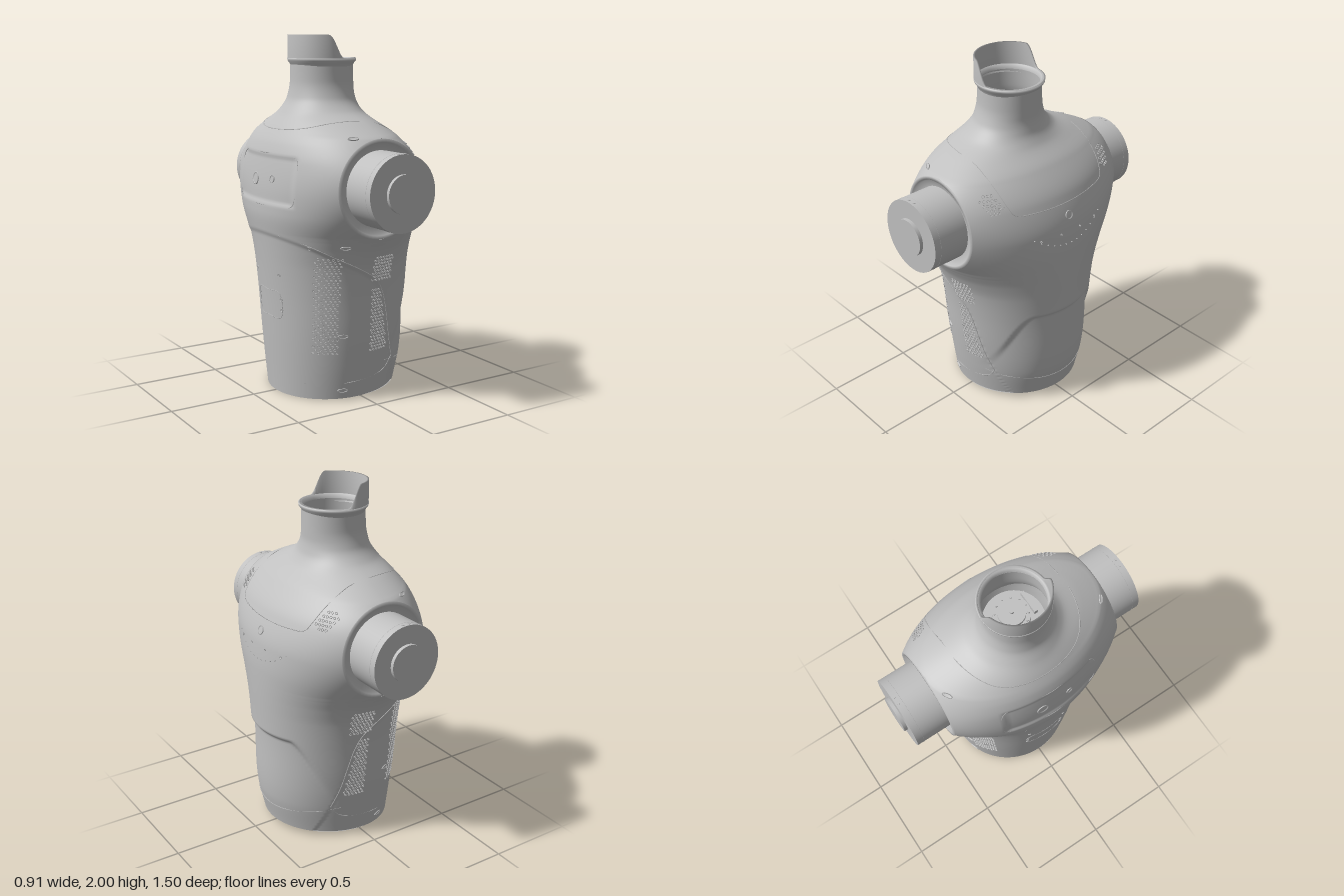
import * as THREE from 'three';
import { mergeGeometries, mergeVertices } from 'three/addons/utils/BufferGeometryUtils.js';

const shellMat = new THREE.MeshStandardMaterial({ color: 0xc0c0c0, side: THREE.DoubleSide });
shellMat.name = 'shell grey';

// Smooth monotone curve through [position, value] pairs
function profile(pts) {
  const d = pts.slice(1).map((p, i) => (p[1] - pts[i][1]) / (p[0] - pts[i][0]));
  const m = pts.map((p, i) => {
    if (i === 0) return d[0];
    if (i === d.length) return d[i - 1];
    return d[i - 1] * d[i] <= 0 ? 0 : (2 * d[i - 1] * d[i]) / (d[i - 1] + d[i]);
  });
  return (v) => {
    if (v <= pts[0][0]) return pts[0][1];
    if (v >= pts[pts.length - 1][0]) return pts[pts.length - 1][1];
    let i = 0;
    while (v > pts[i + 1][0]) i++;
    const h = pts[i + 1][0] - pts[i][0], t = (v - pts[i][0]) / h, t2 = t * t, t3 = t2 * t;
    return (2 * t3 - 3 * t2 + 1) * pts[i][1] + (t3 - 2 * t2 + t) * h * m[i]
      + (3 * t2 - 2 * t3) * pts[i + 1][1] + (t3 - t2) * h * m[i + 1];
  };
}

// Torso outlines by height
const xMax = profile([[0, 0.38], [0.2, 0.418], [0.4, 0.435], [0.65, 0.444], [1, 0.453], [1.15, 0.443], [1.33, 0.385],
  [1.47, 0.28], [1.56, 0.18], [1.62, 0.145], [1.7, 0.13], [1.86, 0.13]]);
const xMin = profile([[0, -0.36], [0.3, -0.385], [0.6, -0.407], [0.9, -0.435], [1.05, -0.453], [1.15, -0.45],
  [1.33, -0.425], [1.42, -0.395], [1.5, -0.345], [1.58, -0.285], [1.66, -0.24], [1.75, -0.225], [1.86, -0.222]]);
const zMax = profile([[0, 0.37], [0.2, 0.398], [0.4, 0.42], [0.6, 0.437], [0.75, 0.458], [0.85, 0.491], [0.92, 0.527],
  [0.935, 0.535], [1.465, 0.535], [1.475, 0.517], [1.53, 0.4], [1.59, 0.265], [1.66, 0.2], [1.75, 0.175], [1.86, 0.17]]);
const centre = profile([[0, -0.01], [1.465, -0.01], [1.65, -0.047], [1.86, -0.047]]);
const hemLine = profile([[-0.45, 0.945], [-0.33, 0.89], [-0.2, 0.82], [0, 0.71], [0.06, 0.65], [0.1, 0.56], [0.15, 0.36], [0.2, 0.2], [0.3, -0.1]]);
const R = 0.265, armX = -0.01, armY = 1.2;
const openingSq = (y) => Math.max(0, R * R - (y - armY) ** 2);
const halfDepth = (s, y) => (s > 0 ? xMax(y) - centre(y) : centre(y) - xMin(y));
const step = THREE.MathUtils.smoothstep;

// Point on the torso: s = +1 chest half, -1 back half; t from -PI/2 to PI/2 along z
function surf(s, y, t, lift = 0) {
  const c = centre(y), w2 = openingSq(y), a = halfDepth(s, y);
  let x = s * Math.sqrt(w2 + (a * a - w2) * Math.cos(t) ** 2), z = zMax(y) * Math.sin(t);
  let f = 1 + lift - 0.015 * step(hemLine(x + c) - y, 0, 0.025);
  if (s > 0) { // belly recess below an arch, softer down its sides
    const out = Math.max(0, Math.abs(z) - 0.21), arch = 0.635 - 0.18 * (out / 0.12) ** 2;
    f -= 0.04 * step(arch - y, 0, 0.03 + 0.6 * out) * step(y, 0.16, 0.6);
  } else { // back panel recess
    f -= 0.022 * step(0.3 - Math.abs(z), 0, 0.03) * step(y, 1.09, 1.12) * (1 - step(y, 1.34, 1.37));
  }
  x *= f; z *= f;
  const tilt = 0.03 * (x + 0.36) / 0.74 * Math.max(0, 1 - y / 0.3);
  return new THREE.Vector3(x + c, y + tilt, z);
}
// Surface position [half, y, t] from front/back coordinates, or from side coordinates
const face = (s, y, z) => [s, y, Math.asin(THREE.MathUtils.clamp(z / zMax(y), -1, 1))];
function side(x, y, m) {
  const dx = x - centre(y), s = dx >= 0 ? 1 : -1, w2 = openingSq(y), a = halfDepth(s, y);
  return [s, y, m * Math.acos(Math.sqrt(THREE.MathUtils.clamp((dx * dx - w2) / (a * a - w2), 0, 1)))];
}

function torsoShell() {
  const pos = [], idx = [], nu = 90, nv = 200;
  for (const s of [1, -1]) {
    const base = pos.length / 3;
    for (let j = 0; j <= nv; j++) for (let i = 0; i <= nu; i++)
      pos.push(...surf(s, 1.86 * j / nv, (i / nu - 0.5) * Math.PI).toArray());
    for (let j = 0; j < nv; j++) for (let i = 0; i < nu; i++) {
      const a = base + j * (nu + 1) + i, b = a + 1, c = a + nu + 1, d = c + 1;
      if (s > 0) idx.push(a, c, b, b, c, d); else idx.push(a, b, c, b, d, c);
    }
  }
  let g = new THREE.BufferGeometry();
  g.setAttribute('position', new THREE.Float32BufferAttribute(pos, 3));
  g.setIndex(idx);
  g = mergeVertices(g, 1e-4);
  g.computeVertexNormals();
  return g;
}

// Short tube with a sunken floor, set into the torso surface
const cupProfile = [[0, -0.2], [0.8, -0.2], [0.85, 1], [1, 1], [1, -1]].map((p) => new THREE.Vector2(...p));
function spot([s, y, t], rx, ry = rx, seg = 6) {
  const p = surf(s, y, t), e = 0.01;
  const u = surf(s, y, Math.min(1.57, t + e)).sub(surf(s, y, Math.max(-1.57, t - e)));
  const v = surf(s, y + e, t).sub(surf(s, y - e, t));
  const n = u.clone().cross(v).normalize();
  if (n.x * (p.x - centre(y)) + n.z * p.z < 0) n.negate();
  const right = new THREE.Vector3(0, 1, 0).cross(n).normalize();
  const m = new THREE.Matrix4().makeBasis(right, n.clone().cross(right), n).setPosition(p);
  return new THREE.LatheGeometry(cupProfile, seg).rotateX(Math.PI / 2).scale(rx, ry, 0.004).applyMatrix4(m);
}
// Fine line following the torso surface
function seam(list, closed = false) {
  const curve = new THREE.CatmullRomCurve3(list.map((q) => surf(...q, 0.001)), closed);
  return new THREE.TubeGeometry(curve, closed ? 160 : 60, 0.0025, 4, closed);
}
// Half a line plus its reflection across z
const reflect = (half) => [...half, ...half.slice(1, -1).reverse().map(([s, y, t]) => [s, y, -t])];
// Staggered vent holes between two heights, with x limits at bottom and top
function vent(x0, x1, y0, X0, X1, y1, m) {
  const out = [], rows = Math.round((y1 - y0) / 0.02);
  for (let j = 0; j <= rows; j++) {
    const k = j / rows, a = x0 + (X0 - x0) * k, b = x1 + (X1 - x1) * k;
    for (let x = a + (j % 2) * 0.01; x <= b; x += 0.021) out.push(spot(side(x, y0 + (y1 - y0) * k, m), 0.008, 0.0065, 5));
  }
  return out;
}

export function createModel() {
  const model = new THREE.Group();
  const add = (name, geo, parent = model) => {
    const mesh = new THREE.Mesh(geo, shellMat);
    mesh.name = name;
    parent.add(mesh);
    return mesh;
  };
  const lathe = (pts, seg = 64) => new THREE.LatheGeometry(pts.map((p) => new THREE.Vector2(...p)), seg);
  add('torsoShell', torsoShell());

  // Waist rim and inner liner with a lip
  const liner = add('waistLiner', lathe([[0.366, 0], [0.352, 0], [0.372, 0.32], [0.335, 0.33]]));
  liner.position.set(0.01, 0.016, 0);
  liner.rotation.z = 0.04;

  // Neck rim and raised guard
  const neckX = -0.047;
  add('neckRim', lathe([[0.172, 1.83], [0.178, 1.845], [0.19, 1.86], [0.192, 1.874], [0.172, 1.876], [0.165, 1.85]])).position.x = neckX;
  const guard = lathe([[0.19, 1.865], [0.19, 2], [0.18, 2], [0.18, 1.865]], 128);
  const gp = guard.attributes.position;
  for (let i = 0; i < gp.count; i++) if (gp.getY(i) > 1.9)
    gp.setY(i, 1.876 + 0.124 * (1 - step(gp.getX(i) + neckX, -0.11, -0.02)));
  guard.computeVertexNormals();
  add('neckGuard', guard).position.x = neckX;

  // Mechanism inside the neck
  const plate = new THREE.Shape().absarc(0, 0, 0.165, 0, Math.PI * 2);
  const slot = new THREE.Path([[-0.105, -0.07], [-0.08, -0.07], [-0.08, 0.07], [-0.105, 0.07]].map((p) => new THREE.Vector2(...p)));
  plate.holes.push(slot);
  const plateGeo = new THREE.ExtrudeGeometry(plate, { depth: 0.02, bevelEnabled: false, curveSegments: 32 }).rotateX(-Math.PI / 2);
  add('neckPlate', plateGeo).position.set(neckX, 1.6, 0);
  [[0.1, 0.04], [0.075, 0.06], [0.012, 0.075]].forEach(([r, h], i) =>
    add('neckMotor' + (i + 1), new THREE.CylinderGeometry(r, r, h, 32)).position.set(-0.025, 1.62 + h / 2, 0));
  for (let i = 0; i < 12; i++) {
    const a = i * Math.PI / 6;
    add('motorBolt', new THREE.CylinderGeometry(0.006, 0.006, 0.01, 8)).position.set(-0.025 + 0.088 * Math.cos(a), 1.665, 0.088 * Math.sin(a));
  }
  for (const z of [-0.115, 0.115]) add('neckBracket', new THREE.BoxGeometry(0.13, 0.03, 0.02)).position.set(-0.015, 1.635, z);

  // Arm joints
  for (const m of [1, -1]) {
    const arm = new THREE.Group();
    arm.name = m > 0 ? 'leftArmJoint' : 'rightArmJoint';
    arm.position.set(armX, armY, 0);
    arm.rotation.x = m * Math.PI / 2;
    model.add(arm);
    add('shoulderRing', lathe([[0.268, 0.525], [0.266, 0.537], [0.248, 0.537], [0.24, 0.518], [0.2, 0.514]]), arm);
    add('armCylinder', new THREE.CylinderGeometry(0.205, 0.205, 0.33, 64), arm).position.y = 0.565;
    add('armCap', new THREE.CylinderGeometry(0.103, 0.103, 0.05, 48), arm).position.y = 0.725;
    add('armSeam', new THREE.TorusGeometry(0.2035, 0.0028, 4, 64).rotateX(Math.PI / 2), arm).position.y = 0.69;
    for (const x of [-0.02, 0.02])
      add('armScrew', new THREE.CylinderGeometry(0.008, 0.008, 0.004, 10)).position.set(armX + x, armY + 0.205, m * 0.712);
  }

  // Vents, slots and side seams, mirrored across z
  const vents = [], slots = [], seams = [];
  for (const m of [1, -1]) {
    vents.push(...vent(-0.28, -0.17, 0.28, -0.3, -0.18, 0.82, m), ...vent(0, 0.13, 0.69, 0, 0.13, 0.82, m),
      ...vent(0.02, 0.14, 0.28, 0.01, 0.07, 0.63, m));
    for (let j = -2; j <= 2; j++) for (let i = -2; i <= 2; i++)
      if (Math.abs(i) + Math.abs(j) < 4) vents.push(spot(face(1, 1.38 + j * 0.02, m * (0.41 + i * 0.019 + (j % 2) * 0.008)), 0.008));
    for (const [x, y] of [[-0.155, 1.468], [-0.185, 0.89], [-0.15, 0.38], [-0.13, 0.05]])
      slots.push(spot(side(x, y, m), 0.03, 0.011, 20));
    slots.push(spot(side(-0.33, 0.88, m), 0.01, 0.01, 12));
    seams.push(seam([-0.42, -0.33, -0.2, -0.1, 0, 0.05, 0.08, 0.1, 0.12, 0.16, 0.2].map((x) => side(x, hemLine(x), m))));
    seams.push(seam([[0.2, 0.2], [0.16, 0.14], [0.1, 0.115], [-0.1, 0.095], [-0.3, 0.09]].map(([x, y]) => side(x, y, m))));
  }
  // Yoke loop around the shoulders, belt, back panel and lower hatch
  seams.push(
    seam(reflect([face(-1, 1.495, 0), face(-1, 1.5, 0.15), face(-1, 1.515, 0.25), side(-0.2, 1.535, 1), side(-0.07, 1.547, 1),
      face(1, 1.528, 0.36), face(1, 1.5, 0.362), face(1, 1.43, 0.355), face(1, 1.36, 0.34), face(1, 1.315, 0.315),
      face(1, 1.3, 0.2), face(1, 1.295, 0)]), true),
    seam([-0.37, -0.3, -0.15, 0, 0.15, 0.3, 0.37].map((z) => face(1, 0.125 + 0.44 * z * z, z))),
    seam(reflect([face(-1, 1.09, 0), face(-1, 1.1, 0.27), face(-1, 1.13, 0.295), face(-1, 1.33, 0.295),
      face(-1, 1.36, 0.27), face(-1, 1.37, 0)]), true),
    seam(reflect([face(-1, 0.45, 0), face(-1, 0.45, 0.1), face(-1, 0.48, 0.12), face(-1, 0.57, 0.12),
      face(-1, 0.6, 0.1), face(-1, 0.6, 0)]), true));
  // Chest port, back ports and fasteners
  slots.push(spot(face(1, 1.23, 0), 0.025, 0.025, 24), spot(face(-1, 1.22, -0.07), 0.035, 0.035, 24), spot(face(-1, 1.235, 0.11), 0.02, 0.02, 24));
  for (const z of [-0.12, 0.12]) for (const y of [0.5, 0.56, 0.7]) slots.push(spot(face(-1, y, z), 0.009, 0.009, 12));
  for (const z of [-0.2, -0.07, 0.07, 0.2]) slots.push(spot(face(1, 1.14, z), 0.006, 0.006, 10));
  for (let z = -0.24; z < 0.25; z += 0.04) slots.push(spot(face(1, 1.07 + 1.5 * z * z, z), 0.004, 0.003));
  add('ventHoles', mergeGeometries(vents));
  add('slotsAndPorts', mergeGeometries(slots));
  add('panelSeams', mergeGeometries(seams));
  return model;
}
